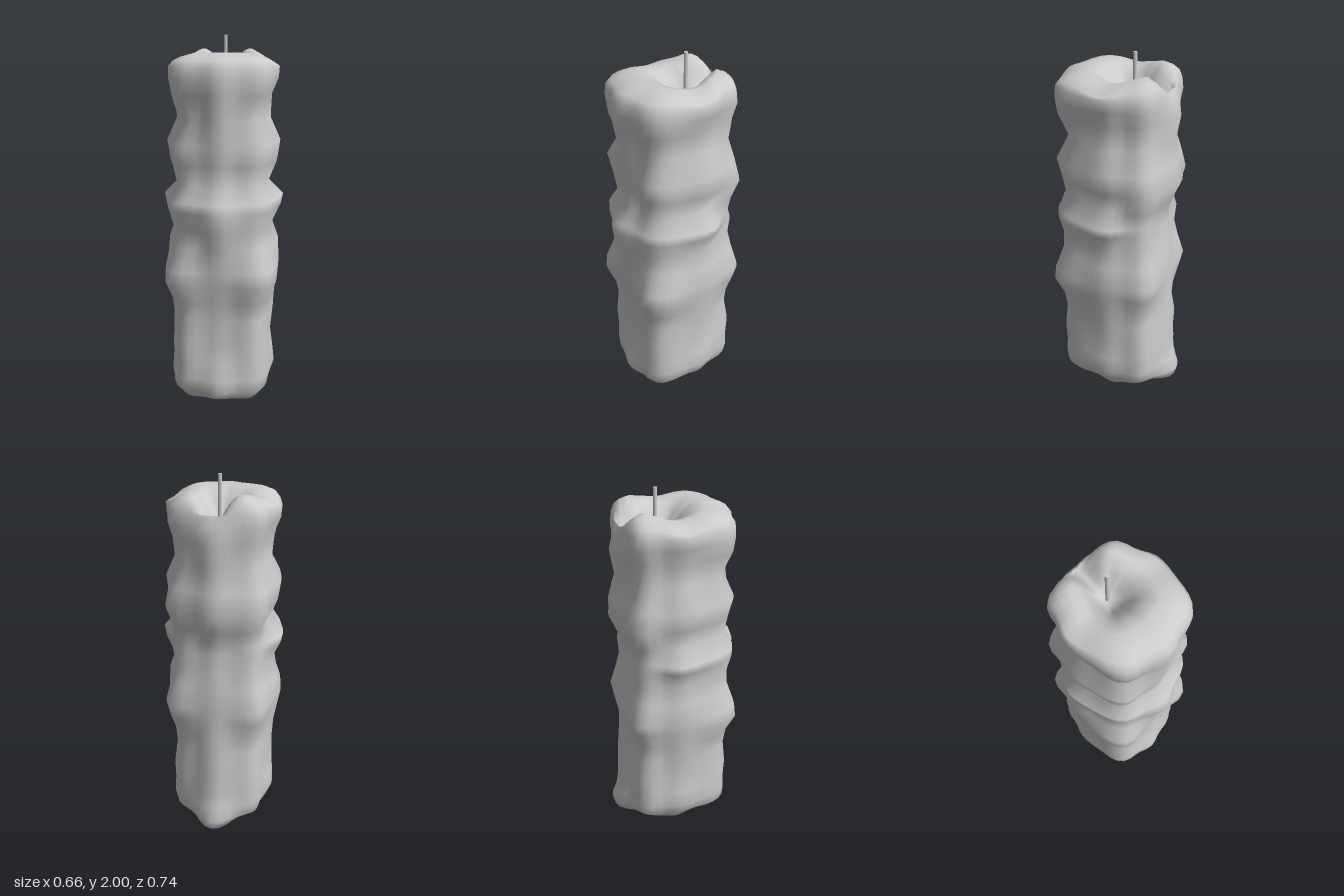
import * as THREE from 'three';

const SEG = 48;
const PIT = { x: 0.005, z: -0.07 };

// Directions of the wax ridges, in degrees from the front
const RIDGES = [0, 38, 98, 136, 180].map(THREE.MathUtils.degToRad);
// Wax levels: height, then radius along each ridge
const LEVELS = [
  [0.012, 0.23, 0.23, 0.2, 0.23, 0.25], [0.04, 0.31, 0.29, 0.235, 0.27, 0.35],
  [0.09, 0.325, 0.34, 0.265, 0.315, 0.365], [0.16, 0.325, 0.345, 0.295, 0.33, 0.335],
  [0.25, 0.295, 0.34, 0.285, 0.325, 0.322], [0.36, 0.28, 0.345, 0.27, 0.33, 0.318],
  [0.5, 0.282, 0.33, 0.285, 0.305, 0.312], [0.6, 0.288, 0.345, 0.29, 0.315, 0.302],
  [0.7, 0.305, 0.395, 0.305, 0.35, 0.296], [0.78, 0.315, 0.385, 0.312, 0.37, 0.295],
  [0.9, 0.325, 0.335, 0.307, 0.33, 0.29], [1.0, 0.36, 0.33, 0.272, 0.305, 0.27],
  [1.1, 0.37, 0.355, 0.32, 0.315, 0.262], [1.15, 0.35, 0.355, 0.33, 0.3, 0.262],
  [1.23, 0.29, 0.305, 0.25, 0.315, 0.285], [1.34, 0.295, 0.325, 0.295, 0.355, 0.332],
  [1.45, 0.312, 0.35, 0.31, 0.325, 0.305], [1.57, 0.312, 0.28, 0.256, 0.285, 0.292],
  [1.7, 0.335, 0.335, 0.26, 0.3, 0.315], [1.78, 0.337, 0.345, 0.295, 0.322, 0.3],
  [1.84, 0.33, 0.34, 0.3, 0.315, 0.29],
];
// Melted top: share of the rim radius, height
const TOP = [[0.93, 1.872], [0.8, 1.893], [0.62, 1.912], [0.46, 1.9], [0.32, 1.865], [0.2, 1.81], [0.09, 1.775]];

const bump = (v, c, w) => Math.exp(-(((v - c) / w) ** 2));

// Mirrored outline: radius eased between the ridges, hollowed midway
function outline(t, [, ...radii]) {
  const a = Math.min(Math.abs(t), Math.PI);
  const i = Math.max(0, RIDGES.findIndex((r) => r >= a) - 1);
  const u = (a - RIDGES[i]) / (RIDGES[i + 1] - RIDGES[i]);
  const mean = THREE.MathUtils.lerp(radii[i], radii[i + 1], THREE.MathUtils.smoothstep(u, 0, 1));
  const r = mean - 0.02 * Math.sin(u * Math.PI) ** 2;
  return [r * Math.sin(t), r * Math.cos(t)];
}

function waxGeometry() {
  const pos = [], idx = [];
  const rim = LEVELS[LEVELS.length - 1];
  const angle = (i) => (i / SEG) * Math.PI * 2 - Math.PI;
  for (const level of LEVELS) {
    for (let i = 0; i < SEG; i++) {
      const t = angle(i);
      let [x, z] = outline(t, level);
      // groove down the back below the notch
      if (z < 0) z += 0.025 * bump(x, 0, 0.06) * bump(level[0], 1.86, 0.1);
      const ragged = level[0] < 0.05 ? 0.012 * Math.cos(5 * t) : 0;
      pos.push(x, Math.max(0.002, level[0] + ragged), z);
    }
  }
  for (const [s, h] of TOP) {
    for (let i = 0; i < SEG; i++) {
      const [rx, rz] = outline(angle(i), rim);
      const x = PIT.x + (rx - PIT.x) * s, z = PIT.z + (rz - PIT.z) * s;
      // the rim sags at the sides
      let y = h - 0.025 * bump(z, 0, 0.09);
      // two raised lobes either side of the notch in the back rim
      if (z < PIT.z) {
        y += 0.02 * bump(Math.abs(x), 0.13, 0.06) * bump(z, -0.2, 0.08);
        y -= Math.max(0, h - 1.79) * bump(x, 0, 0.06);
      }
      pos.push(x, y, z);
    }
  }
  const rows = LEVELS.length + TOP.length;
  for (let j = 0; j < rows - 1; j++) {
    for (let i = 0; i < SEG; i++) {
      const n = (i + 1) % SEG;
      const a = j * SEG + i, b = j * SEG + n, c = a + SEG, d = b + SEG;
      idx.push(a, b, d, a, d, c);
    }
  }
  // close the base and the pit
  const base = pos.length / 3;
  pos.push(0, 0, 0, PIT.x, 1.765, PIT.z);
  const last = (rows - 1) * SEG;
  for (let i = 0; i < SEG; i++) {
    const n = (i + 1) % SEG;
    idx.push(base, n, i, base + 1, last + i, last + n);
  }
  const g = new THREE.BufferGeometry();
  g.setAttribute('position', new THREE.Float32BufferAttribute(pos, 3));
  g.setIndex(idx);
  g.computeVertexNormals();
  return g;
}

export function createModel() {
  const model = new THREE.Group();
  model.name = 'candle';
  const material = new THREE.MeshStandardMaterial({ color: 0xcccccc });

  const wax = new THREE.Mesh(waxGeometry(), material);
  wax.name = 'meltedWax';
  model.add(wax);

  // Wick standing in the pit
  const wick = new THREE.Mesh(new THREE.CylinderGeometry(0.01, 0.01, 0.26, 10), material);
  wick.name = 'wick';
  wick.position.set(PIT.x, 1.87, PIT.z);
  model.add(wick);

  return model;
}
